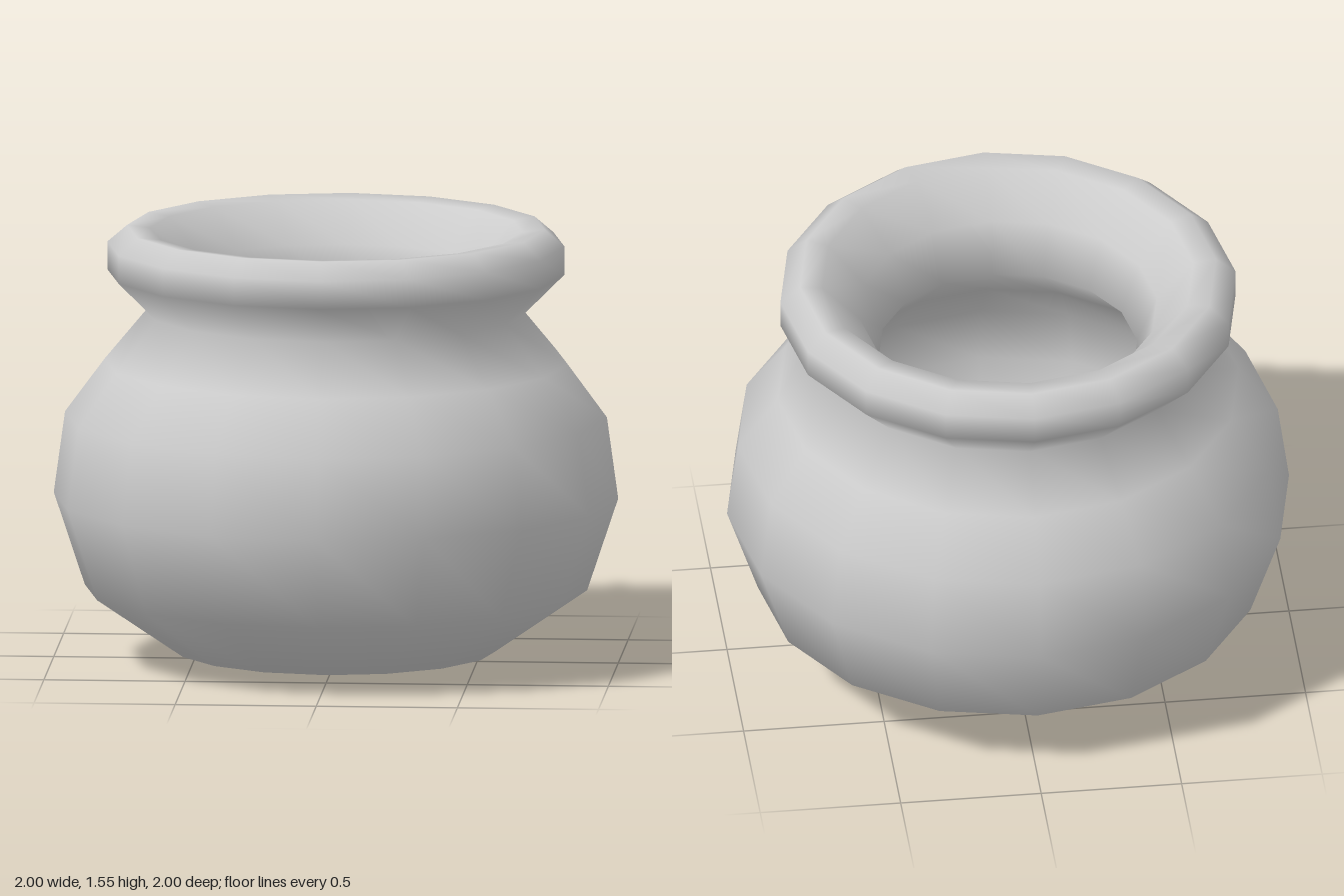
import * as THREE from 'three';

const SIDES = 16;
const material = new THREE.MeshStandardMaterial({ color: 0xcccccc });

// Surface of revolution from [radius, height] pairs
function lathe(name, profile) {
  const points = profile.map(([r, y]) => new THREE.Vector2(r, y));
  const mesh = new THREE.Mesh(new THREE.LatheGeometry(points, SIDES), material);
  mesh.name = name;
  return mesh;
}

// Flat horizontal disc facing up or down
function disc(name, radius, y, facesUp) {
  const mesh = new THREE.Mesh(new THREE.CircleGeometry(radius, SIDES), material);
  mesh.rotation.x = facesUp ? -Math.PI / 2 : Math.PI / 2;
  mesh.position.y = y;
  mesh.name = name;
  return mesh;
}

export function createModel() {
  const pot = new THREE.Group();
  pot.name = 'pot';

  // One continuous wall: belly, neck, rolled rim, throat, then the hollow inside
  pot.add(lathe('wall', [
    [0.33, 0], [0.57, 0.04], [0.89, 0.26], [1, 0.59], [0.96, 0.88], [0.82, 1.07],
    [0.67, 1.25],
    [0.81, 1.39], [0.81, 1.49], [0.74, 1.55], [0.66, 1.54],
    [0.53, 1.4], [0.46, 1.22],
    [0.65, 1.02], [0.8, 0.82], [0.84, 0.59], [0.75, 0.34], [0.5, 0.18], [0.29, 0.13],
  ]));

  // Flat underside and inner floor
  pot.add(disc('underside', 0.33, 0, false));
  pot.add(disc('innerFloor', 0.29, 0.13, true));
  return pot;
}
